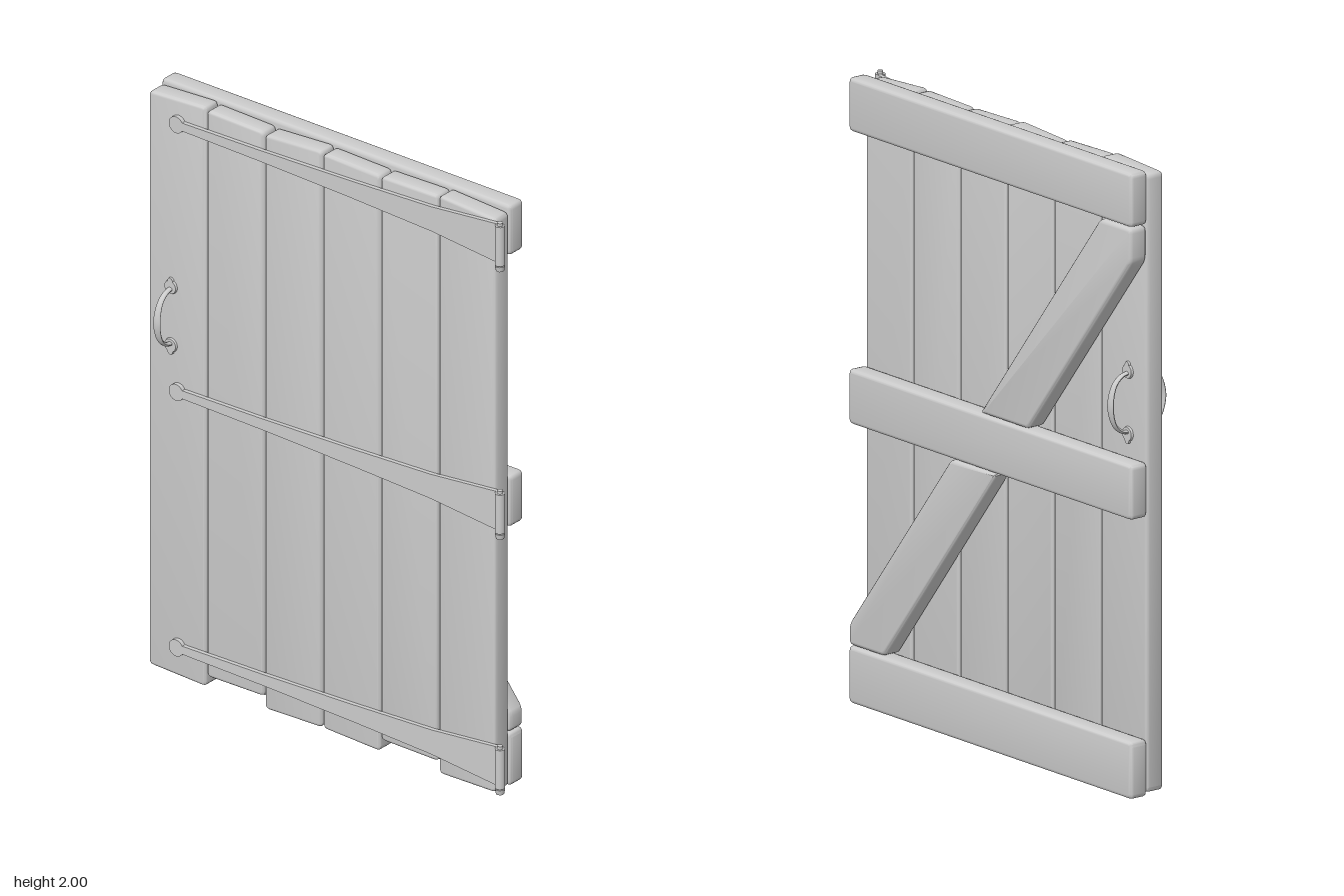
import * as THREE from 'three';
import { toCreasedNormals } from 'three/addons/utils/BufferGeometryUtils.js';

const grey = new THREE.MeshStandardMaterial({ color: 0xcccccc });

function add(parent, name, geometry, x = 0, y = 0, z = 0) {
  const mesh = new THREE.Mesh(geometry, grey);
  mesh.name = name;
  mesh.position.set(x, y, z);
  parent.add(mesh);
  return mesh;
}

// Polygon with softened corners; points run counter-clockwise
function softShape(points, r) {
  const p = points.map(([x, y]) => new THREE.Vector2(x, y));
  const shape = new THREE.Shape();
  p.forEach((c, i) => {
    const toward = (q) => c.clone().add(q.clone().sub(c).setLength(r));
    const a = toward(p[(i + p.length - 1) % p.length]);
    const b = toward(p[(i + 1) % p.length]);
    if (i === 0) shape.moveTo(a.x, a.y);
    else shape.lineTo(a.x, a.y);
    shape.quadraticCurveTo(c.x, c.y, b.x, b.y);
  });
  shape.closePath();
  return shape;
}

// Timber with rounded edges, filling z0..z1
function board(points, z0, z1, bevel = 0.01) {
  const geometry = new THREE.ExtrudeGeometry(softShape(points, 0.016), {
    depth: z1 - z0 - 2 * bevel, curveSegments: 3,
    bevelSize: bevel, bevelThickness: bevel, bevelOffset: -bevel, bevelSegments: 3,
  });
  geometry.translate(0, 0, z0 + bevel);
  return toCreasedNormals(geometry, 0.7);
}

// Tapered strap with a round tip on the left, centred on y = 0
function strapGeometry() {
  const tipX = -0.585, r = 0.028, endX = 0.685;
  const edge = [[-0.25, 0.019], [0.1, 0.029], [0.42, 0.042], [endX, 0.067]];
  const start = Math.asin(0.014 / r);
  const shape = new THREE.Shape();
  shape.moveTo(tipX + r * Math.cos(start), 0.014);
  shape.absarc(tipX, 0, r, start, Math.PI * 2 - start, false);
  edge.forEach(([x, h]) => shape.lineTo(x, -h));
  [...edge].reverse().forEach(([x, h]) => shape.lineTo(x, h));
  shape.closePath();
  return new THREE.ExtrudeGeometry(shape, { depth: 0.014, bevelEnabled: false, curveSegments: 20 });
}

// Bowed pull handle, projecting toward +z from its own z = 0
function makeHandle(name) {
  const handle = new THREE.Group();
  handle.name = name;
  const path = new THREE.CatmullRomCurve3([
    [-0.095, 0], [-0.088, 0.028], [-0.062, 0.056], [0, 0.071],
    [0.062, 0.056], [0.088, 0.028], [0.095, 0],
  ].map(([y, z]) => new THREE.Vector3(0, y, z)));
  const grip = new THREE.TubeGeometry(path, 32, 0.0065, 10);
  // Broaden the grip toward its middle
  const pos = grip.attributes.position;
  for (let i = 0; i < pos.count; i++) {
    pos.setX(i, pos.getX(i) * (1.3 + 0.9 * Math.max(0, 1 - Math.abs(pos.getY(i)) / 0.1)));
  }
  grip.computeVertexNormals();
  add(handle, 'handleGrip', grip);
  for (const s of [-1, 1]) {
    const plate = new THREE.CylinderGeometry(0.022, 0.024, 0.007, 16).rotateX(Math.PI / 2);
    add(handle, 'handlePlate', plate, 0, s * 0.1, 0.0035);
    const tip = new THREE.CylinderGeometry(0.01, 0.011, 0.007, 12).rotateX(Math.PI / 2);
    add(handle, 'handlePlateTip', tip, 0, s * 0.121, 0.0035);
  }
  return handle;
}

export function createModel() {
  const door = new THREE.Group();
  door.name = 'plankDoor';
  const left = -0.706, right = 0.664, pitch = (right - left) / 6;

  // Upright planks: bottom left, bottom right, top right, top left heights
  const planks = new THREE.Group();
  planks.name = 'planks';
  door.add(planks);
  [
    [0.014, 0.006, 1.997, 1.985],
    [0.043, 0.046, 1.985, 1.99],
    [0.006, 0.012, 1.993, 1.98],
    [0.012, 0.004, 1.983, 1.988],
    [0.045, 0.043, 1.988, 1.983],
    [0.004, 0.008, 1.98, 1.992],
  ].forEach(([bl, br, tr, tl], i) => {
    const a = left + i * pitch + 0.002, b = left + (i + 1) * pitch - 0.002;
    add(planks, 'plank', board([[a, bl], [b, br], [b, tr], [a, tl]], -0.034, 0.031));
  });

  // Horizontal rails and the diagonal brace on the back
  const frame = new THREE.Group();
  frame.name = 'backFrame';
  door.add(frame);
  const backBoard = (name, points) => add(frame, name, board(points, -0.101, -0.036, 0.012));
  for (const [name, y0, y1] of [['bottomRail', 0.005, 0.187], ['middleRail', 0.895, 1.07], ['topRail', 1.828, 2]]) {
    backBoard(name, [[left - 0.003, y0], [right + 0.002, y0], [right + 0.002, y1], [left - 0.003, y1]]);
  }
  backBoard('upperBrace', [[-0.205, 1.073], [0.028, 1.073], [-0.555, 1.824], [left, 1.824], [left, 1.715]]);
  backBoard('lowerBrace', [[0.495, 0.19], [right, 0.19], [right, 0.257], [0.17, 0.892], [-0.05, 0.892]]);

  // Three strap hinges with barrel and pin
  for (const y of [0.112, 0.99, 1.91]) {
    const hinge = new THREE.Group();
    hinge.name = 'strapHinge';
    hinge.position.y = y;
    door.add(hinge);
    add(hinge, 'hingeStrap', strapGeometry(), 0, 0, 0.031);
    const px = 0.693, pz = 0.048;
    add(hinge, 'hingeBarrel', new THREE.CylinderGeometry(0.016, 0.016, 0.134, 16), px, 0, pz);
    add(hinge, 'hingePin', new THREE.CylinderGeometry(0.009, 0.009, 0.16, 12), px, -0.003, pz);
    add(hinge, 'hingePinHead', new THREE.CylinderGeometry(0.016, 0.013, 0.017, 12), px, -0.079, pz);
  }

  // Pull handles on both faces
  const front = makeHandle('frontHandle');
  front.position.set(-0.614, 1.24, 0.031);
  const back = makeHandle('backHandle');
  back.position.set(-0.614, 1.24, -0.034);
  back.rotation.y = Math.PI;
  door.add(front, back);

  return door;
}
